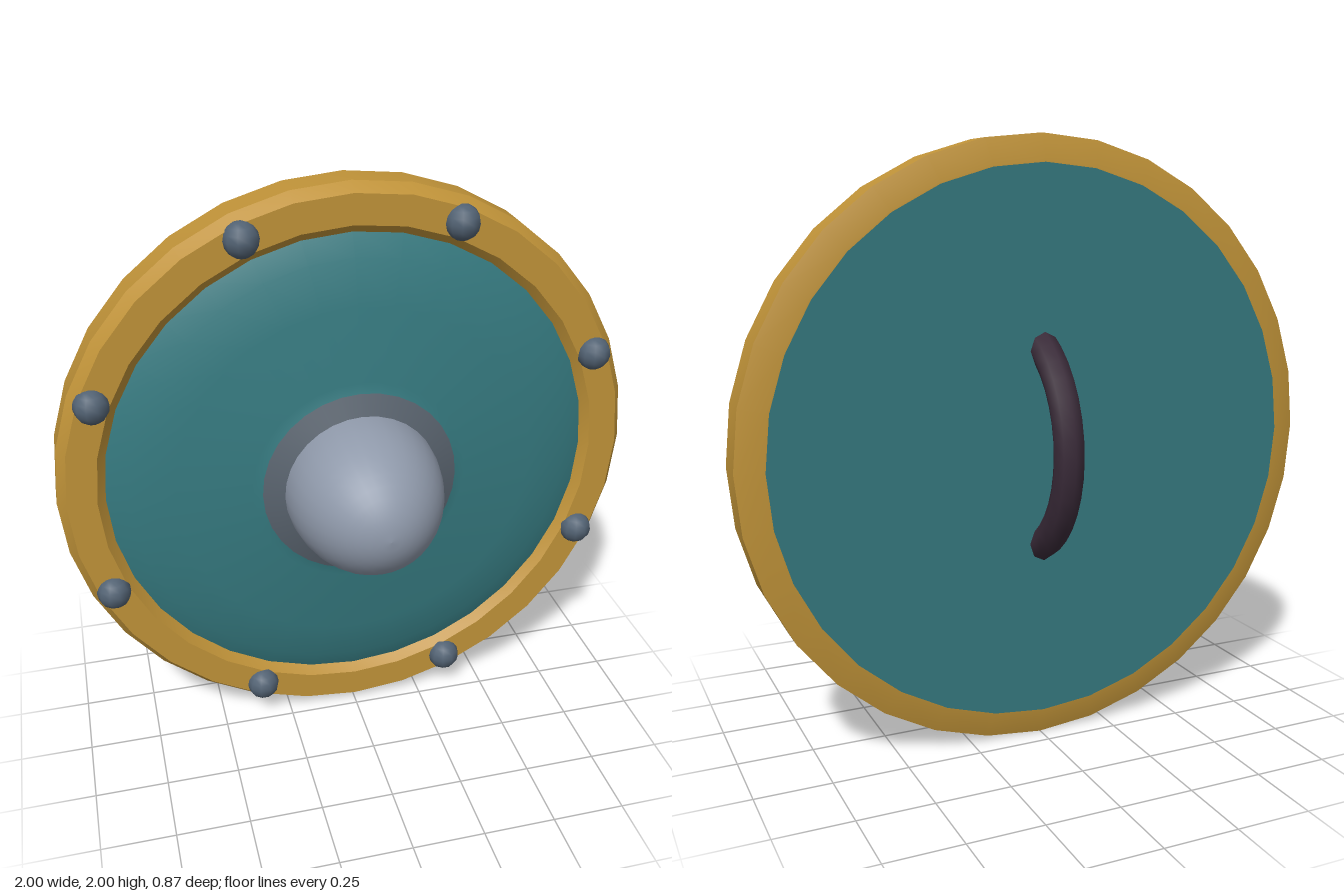
import * as THREE from 'three';
import { toCreasedNormals } from 'three/addons/utils/BufferGeometryUtils.js';

const mat = (name, color) => {
  const m = new THREE.MeshStandardMaterial({ color });
  m.name = name;
  return m;
};

// Revolve [radius, z] points around the z axis; points run from back to front.
function revolve(points, segments, crease) {
  const g = new THREE.LatheGeometry(points.map(([r, z]) => new THREE.Vector2(r, z)), segments);
  g.rotateX(Math.PI / 2);
  return crease ? toCreasedNormals(g, crease) : g;
}

export function createModel() {
  const teal = mat('teal paint', 0x35797f);
  const gold = mat('gold rim', 0xbf9238);
  const steel = mat('pale steel', 0x8f99aa);
  const flangeSteel = mat('dull steel', 0x59636e);
  const iron = mat('dark iron', 0x526273);
  const leather = mat('dark leather', 0x392a38);

  const shield = new THREE.Group();
  shield.name = 'shield';
  const add = (name, geometry, material) => {
    const mesh = new THREE.Mesh(geometry, material);
    mesh.name = name;
    shield.add(mesh);
    return mesh;
  };

  // Bevelled hoop
  add('rim', revolve([
    [0.9, -0.206], [0.915, -0.206], [1, -0.18], [1, -0.065],
    [0.97, -0.025], [0.87, -0.025], [0.835, -0.06],
  ], 32, 0.4), gold);

  // Shallow front face and flat back
  add('frontFace', revolve([
    [0.86, -0.062], [0.77, -0.018], [0.62, 0.016], [0.37, 0.045], [0.335, 0.053], [0.25, 0.079],
  ], 32), teal);
  const back = add('backFace', new THREE.CircleGeometry(0.91, 32), teal);
  back.rotation.y = Math.PI;
  back.position.z = -0.207;

  // Central boss: sloped flange and domed cap
  add('bossFlange', revolve([[0.335, 0.055], [0.262, 0.083]], 32), flangeSteel);
  const dome = [[0.265, 0.06]];
  for (let i = 0; i <= 12; i++) {
    const a = (i / 12) * Math.PI / 2;
    dome.push([i === 12 ? 0 : 0.265 * Math.cos(a), 0.08 + 0.357 * Math.sin(a)]);
  }
  add('boss', revolve(dome, 32), steel);

  // Eight rivets around the rim
  const rivet = new THREE.SphereGeometry(0.059, 10, 8);
  for (let i = 0; i < 8; i++) {
    const a = (i + 0.5) * Math.PI / 4;
    add('rivet', rivet, iron).position.set(0.922 * Math.cos(a), 0.922 * Math.sin(a), -0.03);
  }

  // Curved grip behind, with its ends buried in the board
  const arc = Math.PI * 0.8;
  const grip = new THREE.TorusGeometry(0.38, 0.051, 8, 16, arc);
  grip.rotateZ(Math.PI - arc / 2);
  grip.rotateY(-Math.PI / 2);
  add('handle', grip, leather).position.z = -0.005;

  // Stand the shield on the ground
  shield.children.forEach((m) => { m.position.y += 1; });
  return shield;
}
